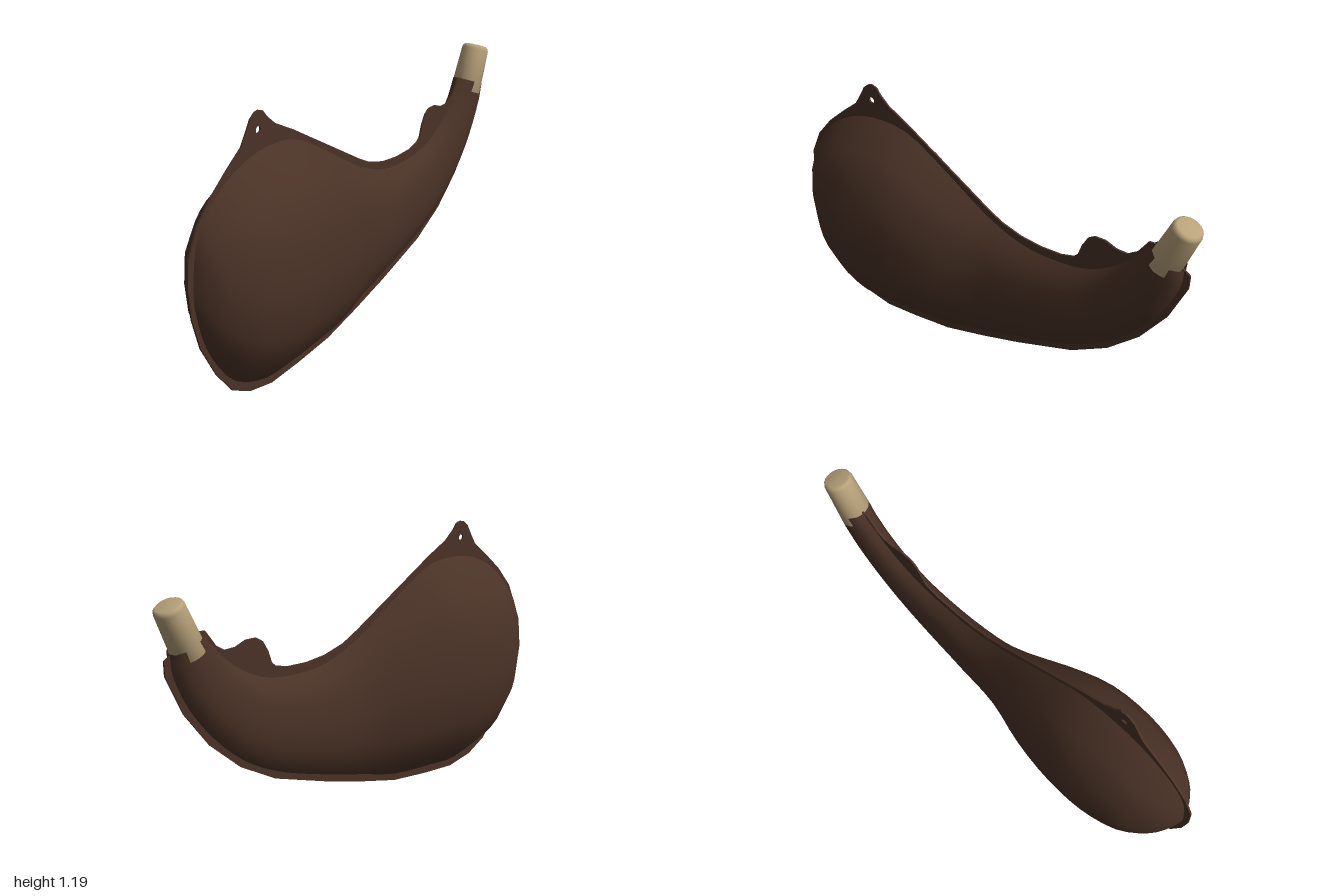
import * as THREE from 'three';

const leather = new THREE.MeshStandardMaterial({ color: 0x4a3226, side: THREE.DoubleSide });
leather.name = 'dark brown leather';
const cork = new THREE.MeshStandardMaterial({ color: 0xb8a27a });
cork.name = 'tan cork';

// Rows along the pouch: bottom x, bottom y, top x, top y, half thickness
const SECTIONS = [
  [-0.975, 0.53, -0.975, 0.61, 0.004], [-0.95, 0.40, -0.95, 0.76, 0.06],
  [-0.90, 0.27, -0.90, 0.86, 0.12], [-0.78, 0.11, -0.78, 0.965, 0.19],
  [-0.60, 0.035, -0.62, 1.03, 0.223], [-0.42, 0.045, -0.41, 1.03, 0.22],
  [-0.20, 0.07, -0.20, 0.92, 0.175], [0.0, 0.13, 0.02, 0.785, 0.107],
  [0.22, 0.20, 0.20, 0.715, 0.086], [0.48, 0.30, 0.36, 0.705, 0.073],
  [0.64, 0.40, 0.50, 0.725, 0.067], [0.77, 0.53, 0.60, 0.77, 0.065],
  [0.875, 0.68, 0.69, 0.84, 0.064], [0.94, 0.84, 0.76, 0.92, 0.064],
  [0.945, 0.92, 0.805, 0.98, 0.066],
];

// One half of the pouch, bulging to side = +1 (front) or -1 (back)
function pouchHalf(side) {
  const bottom = new THREE.CatmullRomCurve3(SECTIONS.map(s => new THREE.Vector3(s[0], s[1], s[4])));
  const top = new THREE.CatmullRomCurve3(SECTIONS.map(s => new THREE.Vector3(s[2], s[3], s[4])));
  const rows = 42, cols = 6, pos = [], idx = [];
  const lensY = [-1, -0.76, -0.44, 0, 0.44, 0.76, 1];
  const lensZ = [0, 0.54, 0.88, 1, 0.88, 0.54, 0];
  for (let i = 0; i <= rows; i++) {
    const t = i / rows, b = bottom.getPoint(t), u = top.getPoint(t);
    const round = THREE.MathUtils.smoothstep(t, 0.5, 1); // lens becomes an ellipse at the neck
    for (let j = 0; j <= cols; j++) {
      const a = (j / cols - 0.5) * Math.PI;
      const v = THREE.MathUtils.lerp(lensY[j], Math.sin(a), round) * 0.5 + 0.5;
      const w = THREE.MathUtils.lerp(lensZ[j], Math.cos(a), round);
      pos.push(b.x + (u.x - b.x) * v, b.y + (u.y - b.y) * v, side * w * Math.max(b.z, 0));
      if (i < rows && j < cols) {
        const p = i * (cols + 1) + j, q = p + cols + 1;
        if (side > 0) idx.push(p, q, q + 1, p, q + 1, p + 1);
        else idx.push(p, q + 1, q, p, p + 1, q + 1);
      }
    }
  }
  const g = new THREE.BufferGeometry();
  g.setAttribute('position', new THREE.Float32BufferAttribute(pos, 3));
  g.setIndex(idx);
  g.computeVertexNormals();
  return g;
}

// Flat stitched rim with the hanging tab, its hole and the thumb bump
function seamGeometry() {
  const outline = [
    [-1, 0.6], [-0.99, 0.72], [-0.94, 0.83], [-0.86, 0.925], [-0.77, 1.005], [-0.69, 1.07],
    [-0.66, 1.12], [-0.635, 1.165], [-0.61, 1.185], [-0.59, 1.19], [-0.565, 1.182], [-0.545, 1.155],
    [-0.5, 1.115], [-0.4, 1.063], [-0.2, 0.945], [0.02, 0.815], [0.1, 0.773], [0.2, 0.745],
    [0.3, 0.736], [0.4, 0.742], [0.46, 0.76], [0.48, 0.78], [0.495, 0.83], [0.52, 0.877],
    [0.55, 0.898], [0.6, 0.9], [0.65, 0.882], [0.7, 0.882], [0.74, 0.91], [0.785, 0.978],
    [0.81, 0.98], [0.88, 0.955], [0.97, 0.9], [0.97, 0.84], [0.9, 0.67], [0.79, 0.51],
    [0.65, 0.375], [0.48, 0.27], [0.2, 0.165], [0, 0.1], [-0.2, 0.042], [-0.4, 0.015],
    [-0.57, 0], [-0.7, 0.025], [-0.8, 0.08], [-0.88, 0.19], [-0.955, 0.34], [-0.99, 0.48],
  ];
  const shape = new THREE.Shape(outline.map(p => new THREE.Vector2(...p)));
  shape.holes.push(new THREE.Path().absarc(-0.595, 1.115, 0.014, 0, Math.PI * 2, true));
  const g = new THREE.ExtrudeGeometry(shape, { depth: 0.008, bevelEnabled: false, curveSegments: 8 });
  return g.translate(0, 0, -0.004);
}

export function createModel() {
  const model = new THREE.Group();
  const add = (name, geometry, material) => {
    const mesh = new THREE.Mesh(geometry, material);
    mesh.name = name;
    model.add(mesh);
    return mesh;
  };

  add('frontPouch', pouchHalf(1), leather);
  add('backPouch', pouchHalf(-1), leather);
  add('seamRim', seamGeometry(), leather);

  // Stopper with a softened top edge, leaning out of the neck
  const profile = [[0, 0], [0.069, 0], [0.062, 0.2], [0.058, 0.213], [0.048, 0.22], [0, 0.222]];
  const stopper = add('stopper',
    new THREE.LatheGeometry(profile.map(p => new THREE.Vector2(...p)), 24), cork);
  stopper.position.set(0.858, 0.905, 0);
  stopper.rotation.z = -0.38;
  return model;
}
